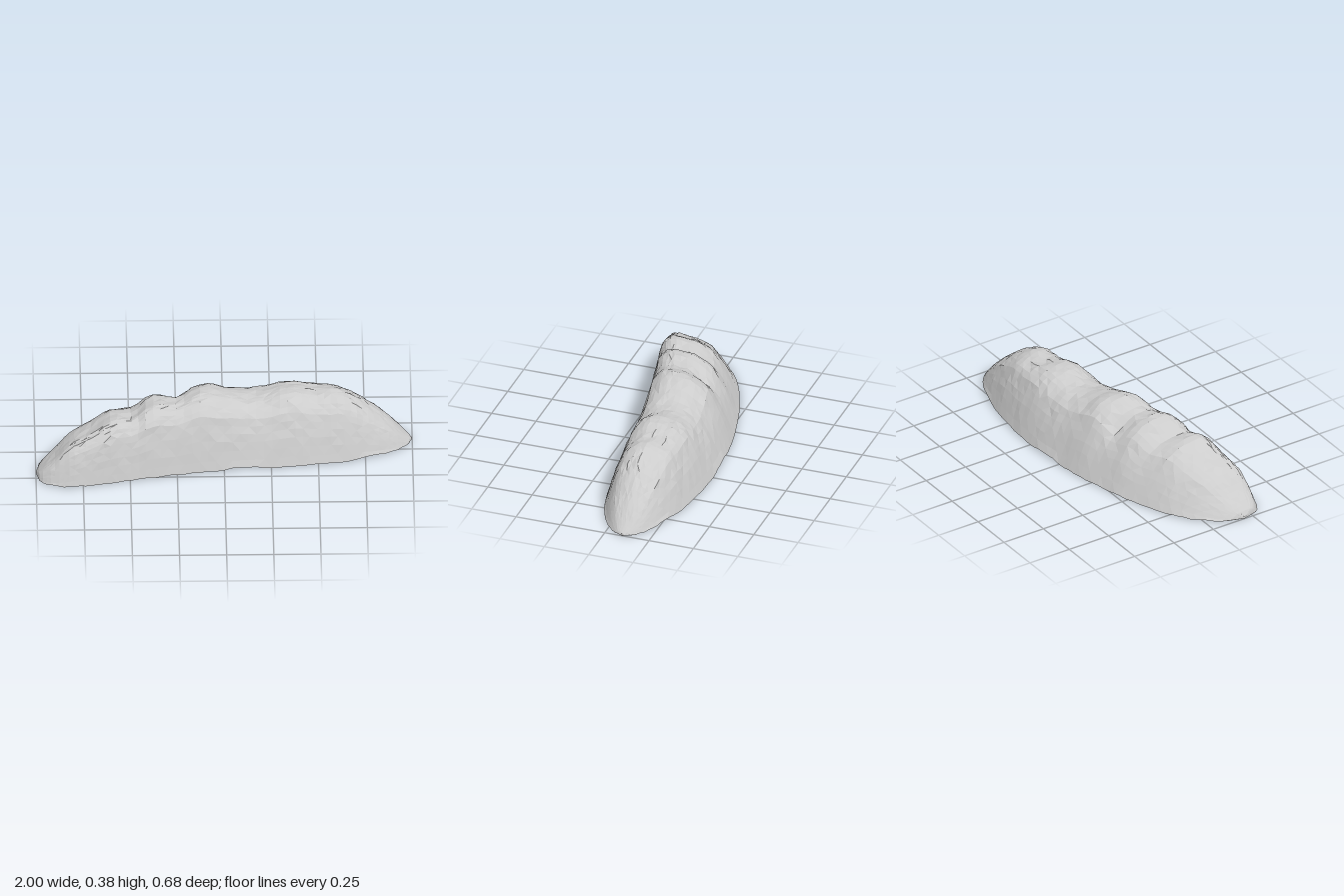
import * as THREE from 'three';

// Each row: x, front edge z, back edge z, ridge height
const STATIONS = [
  [-1, 0.20, 0.20, 0.01], [-0.99, 0.26, 0.14, 0.03], [-0.95, 0.31, 0.06, 0.075], [-0.9, 0.333, 0.0, 0.12],
  [-0.82, 0.342, -0.07, 0.20], [-0.7, 0.327, -0.14, 0.26], [-0.6, 0.307, -0.18, 0.31], [-0.48, 0.28, -0.225, 0.303],
  [-0.39, 0.263, -0.25, 0.36], [-0.25, 0.235, -0.285, 0.342], [-0.12, 0.212, -0.31, 0.385], [0.02, 0.194, -0.327, 0.345],
  [0.18, 0.18, -0.34, 0.325], [0.36, 0.163, -0.338, 0.355], [0.5, 0.145, -0.325, 0.33], [0.6, 0.13, -0.31, 0.325],
  [0.7, 0.107, -0.288, 0.28], [0.8, 0.075, -0.258, 0.205], [0.9, 0.025, -0.213, 0.11], [0.96, -0.025, -0.168, 0.045],
  [0.99, -0.065, -0.13, 0.015], [1, -0.1, -0.1, 0.005],
];

// Smooth curves through the stations
const outline = new THREE.CubicInterpolant(STATIONS.map((s) => s[0]), STATIONS.flatMap((s) => s.slice(1)), 3);

// Half arch from rim to crown: [share of half width, share of height]
const ARCH = [[1, 0], [0.9, 0.24], [0.8, 0.45], [0.7, 0.63], [0.59, 0.79], [0.45, 0.89], [0.3, 0.95], [0.15, 0.985], [0, 1]];

// Repeatable scatter in -1..1
function scatter(i, j) {
  const s = Math.sin(i * 127.1 + j * 311.7) * 43758.5453;
  return 2 * (s - Math.floor(s)) - 1;
}

const bump = (x, centre, width) => Math.exp(-(((x - centre) / width) ** 2));

function moundGeometry() {
  const { lerp, clamp } = THREE.MathUtils;
  const across = 24, along = 60;
  const positions = [], indices = [];
  for (let i = 0; i <= along; i++) {
    // Stations crowd toward the rounded ends
    const t = (2 * i) / along - 1;
    const x = 0.5 * t + 0.5 * Math.sin((t * Math.PI) / 2);
    const [front, back, height] = outline.evaluate(x);
    const middle = (front + back) / 2, half = (front - back) / 2;
    // The crown leans forward, more and more toward the -x end
    const lean = half * clamp(0.22 - 0.42 * x, 0.04, 0.48);
    for (let j = 0; j <= across; j++) {
      const s = (2 * j) / across - 1;
      const k = (1 - Math.abs(s)) * (ARCH.length - 1);
      const n = Math.min(Math.floor(k), ARCH.length - 2);
      const u = lerp(ARCH[n][0], ARCH[n + 1][0], k - n);
      const v = lerp(ARCH[n][1], ARCH[n + 1][1], k - n);
      const z = middle + Math.sign(s) * u * half + lean * (1 - u);

      // Lumpy crust, strongest near the crown
      const rough = v * Math.min(1, height / 0.3);
      const lump = 0.007 * Math.sin(13 * x + 9 * z) * Math.sin(21 * z - 6 * x) + 0.004 * scatter(i, j);
      const hollow = 0.03 * Math.exp(-((x + 0.26) ** 2 + (z + 0.1) ** 2) / 0.004);
      // Uneven rim, lifted a little in two places
      const lift = 0.004 + 0.004 * scatter(i, 7) + 0.015 * (bump(x, 0.1, 0.08) + bump(x, 0.78, 0.05));
      const y = v * height + rough * (lump - hollow) + (v === 0 ? lift : 0);
      const end = i === 0 || i === along;
      positions.push(
        x + (end ? 0 : 0.004 * rough * scatter(j, i + 50)),
        Math.max(0, y),
        z + 0.005 * rough * scatter(i + 90, j));
    }
  }
  const row = across + 1;
  for (let i = 0; i < along; i++) {
    for (let j = 0; j < across; j++) {
      const a = i * row + j, b = a + 1, c = a + row, d = c + 1;
      if ((i + j) % 2) indices.push(a, b, c, b, d, c);
      else indices.push(a, b, d, a, d, c);
    }
  }
  const geometry = new THREE.BufferGeometry();
  geometry.setAttribute('position', new THREE.Float32BufferAttribute(positions, 3));
  geometry.setIndex(indices);
  geometry.computeVertexNormals();
  return geometry;
}

export function createModel() {
  const group = new THREE.Group();
  group.name = 'rockMound';
  // Hollow shell, open underneath
  const material = new THREE.MeshStandardMaterial({ color: 0xcccccc, flatShading: true, side: THREE.DoubleSide });
  const shell = new THREE.Mesh(moundGeometry(), material);
  shell.name = 'moundShell';
  group.add(shell);
  return group;
}
